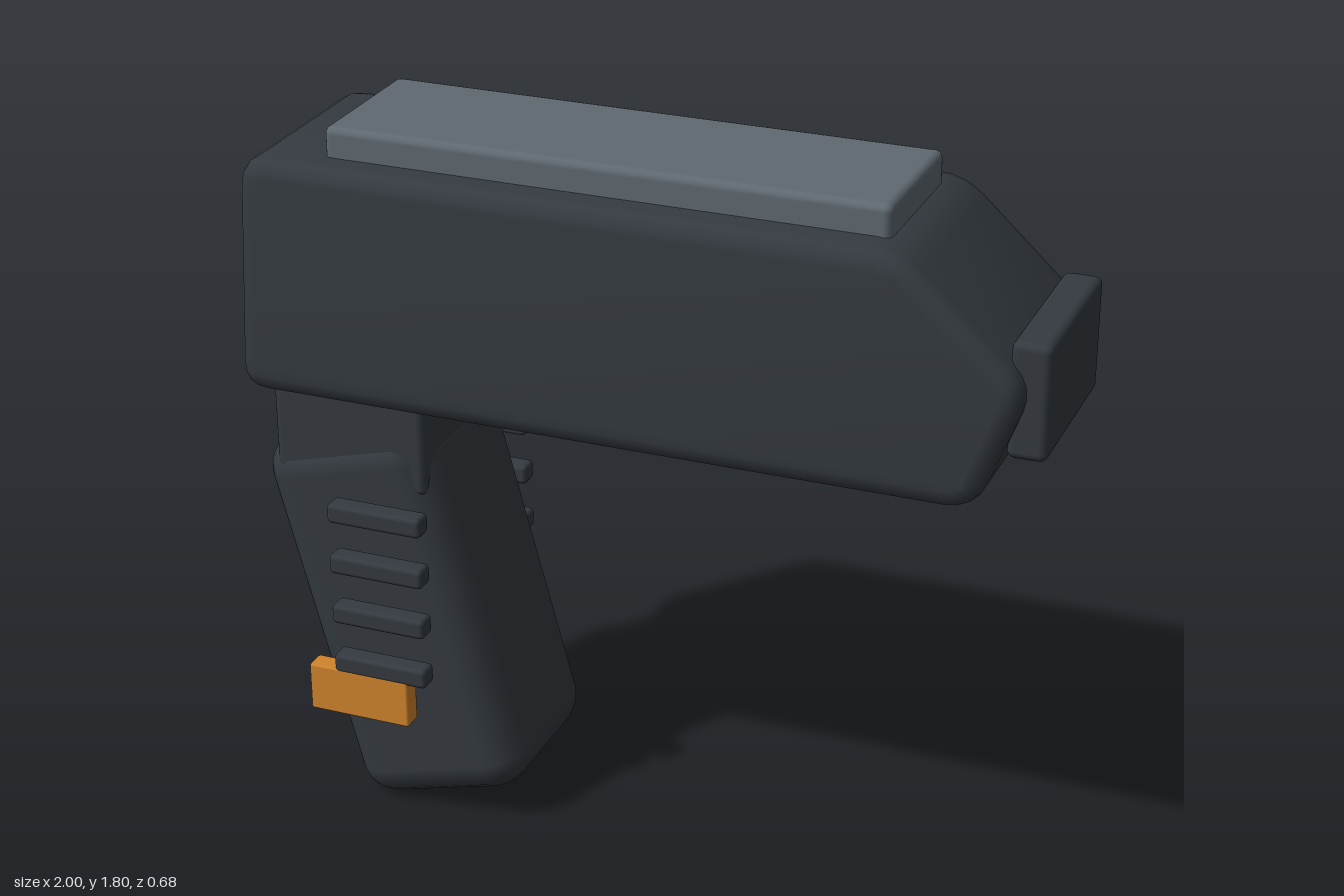
import * as THREE from 'three';
import { RoundedBoxGeometry } from 'three/addons/geometries/RoundedBoxGeometry.js';
import { toCreasedNormals } from 'three/addons/utils/BufferGeometryUtils.js';

const material = (name, color) => {
  const m = new THREE.MeshStandardMaterial({ color });
  m.name = name;
  return m;
};

// Closed outline whose corners are softened by the given radius
function roundedOutline(points, radius) {
  const shape = new THREE.Shape();
  const pts = points.map(([x, y]) => new THREE.Vector2(x, y));
  pts.forEach((p, i) => {
    const prev = pts[(i + pts.length - 1) % pts.length];
    const next = pts[(i + 1) % pts.length];
    const a = p.clone().add(prev.clone().sub(p).setLength(radius));
    const b = p.clone().add(next.clone().sub(p).setLength(radius));
    if (i === 0) shape.moveTo(a.x, a.y);
    else shape.lineTo(a.x, a.y);
    shape.quadraticCurveTo(p.x, p.y, b.x, b.y);
  });
  shape.closePath();
  return shape;
}

export function createModel() {
  const model = new THREE.Group();
  model.name = 'handheldDevice';
  const dark = material('dark slate', 0x343a40);
  const grey = material('steel grey', 0x5f6971);
  const orange = material('orange', 0xd0842c);

  const add = (name, geometry, mat, x = 0, y = 0, z = 0) => {
    const mesh = new THREE.Mesh(geometry, mat);
    mesh.name = name;
    mesh.position.set(x, y, z);
    model.add(mesh);
    return mesh;
  };
  const box = (name, mat, [x0, x1], [y0, y1], [z0, z1], radius, segments = 2) =>
    add(name, new RoundedBoxGeometry(x1 - x0, y1 - y0, z1 - z0, segments, radius), mat,
      (x0 + x1) / 2, (y0 + y1) / 2, (z0 + z1) / 2);

  // Main housing with a wedge nose
  const half = 0.285, bevel = 0.045;
  const outline = roundedOutline(
    [[-1.0, 1.14], [0.85, 1.14], [0.965, 1.45], [0.65, 1.74], [-0.97, 1.74]], 0.07);
  const housing = new THREE.ExtrudeGeometry(outline, {
    depth: 2 * (half - bevel), curveSegments: 4,
    bevelSize: bevel, bevelThickness: bevel, bevelOffset: -bevel, bevelSegments: 3,
  });
  housing.translate(0, 0, -(half - bevel));
  add('housing', toCreasedNormals(housing, 0.75), dark);

  // Top rail and nose block
  box('topRail', grey, [-0.78, 0.615], [1.68, 1.815], [-0.198, 0.198], 0.02);
  box('noseBlock', dark, [0.905, 1.0], [1.265, 1.55], [-0.225, 0.225], 0.02);

  // Neck and slanted grip
  box('neck', dark, [-0.94, -0.535], [0.9, 1.2], [-0.228, 0.228], 0.02);
  const tilt = THREE.MathUtils.degToRad(15), length = 1.005;
  const grip = add('grip', new RoundedBoxGeometry(0.467, length, 0.48, 2, 0.09), dark,
    -0.519 - Math.sin(tilt) * length / 2, 0.049 + Math.cos(tilt) * length / 2, 0);
  grip.rotation.z = tilt;

  // Ribs and orange tabs standing off both sides of the grip
  for (const [side, s] of [['left', 1], ['right', -1]]) {
    const z = s > 0 ? [0.285, 0.34] : [-0.34, -0.285];
    for (let i = 0; i < 4; i++) {
      const y = 0.873 - i * 0.139;
      box(`${side}Rib${i + 1}`, dark, [-0.75, -0.5], [y - 0.026, y + 0.026], z, 0.012);
    }
    box(`${side}Tab`, orange, [-0.82, -0.55], [0.313, 0.44], z, 0.006, 1);
  }
  return model;
}
